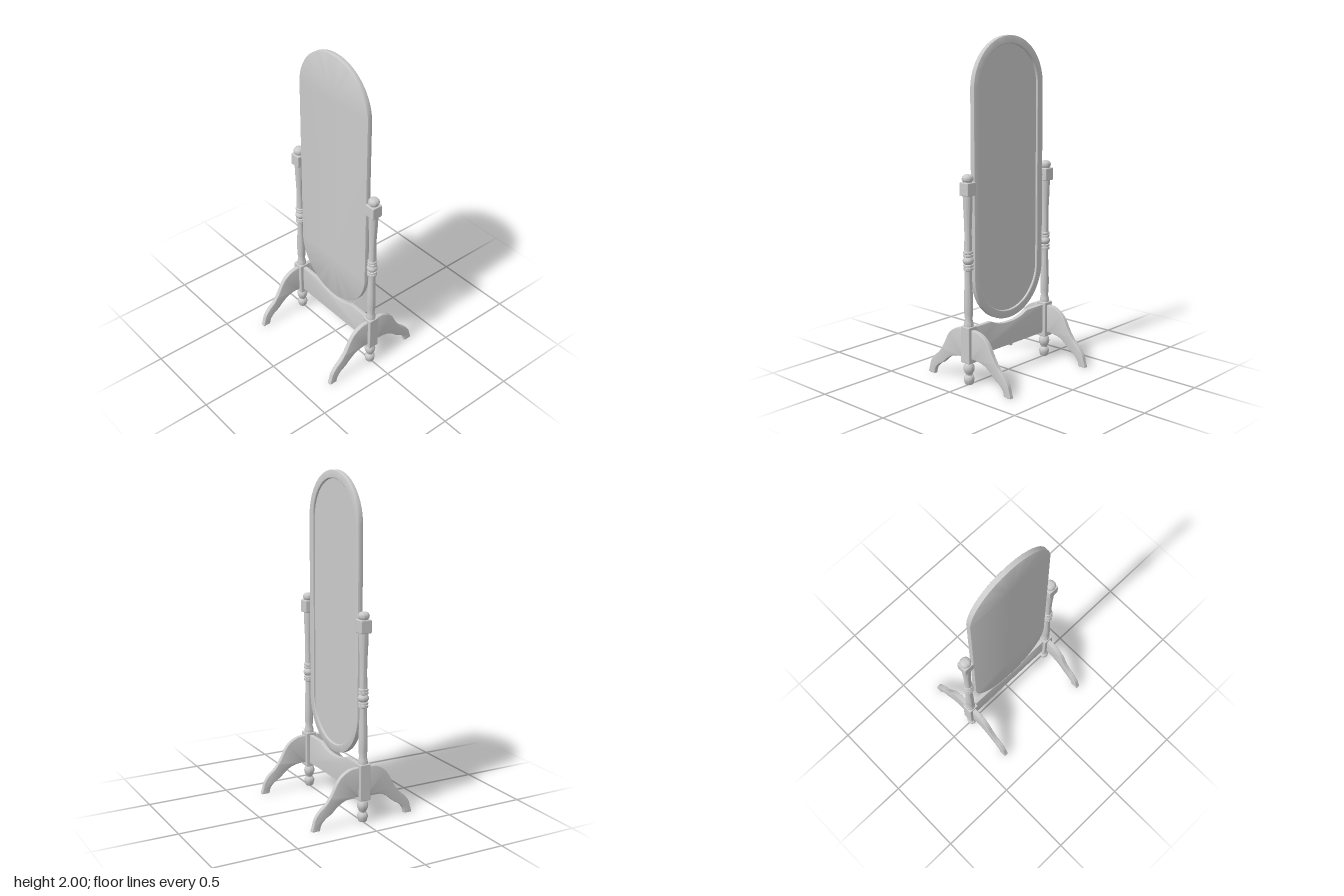
import * as THREE from 'three';
import { toCreasedNormals } from 'three/addons/utils/BufferGeometryUtils.js';
import { RoundedBoxGeometry } from 'three/addons/geometries/RoundedBoxGeometry.js';

const material = new THREE.MeshStandardMaterial({ color: 0xcccccc });
const POST_X = -0.003, POST_Z = 0.336, PANEL_X = -0.006, PANEL_Y = 1.165;
const vec = ([x, y]) => new THREE.Vector2(x, y);

function mesh(name, geometry, x = 0, y = 0, z = 0) {
  const m = new THREE.Mesh(geometry, material);
  m.name = name;
  m.position.set(x, y, z);
  return m;
}

// Turned part: profile of [radius, height] from bottom to top
function turned(profile) {
  return toCreasedNormals(new THREE.LatheGeometry(profile.map(vec), 28), 0.7);
}

// Board with softly rounded edges, centred on its thickness
function board(shape, thickness, bevel) {
  const g = new THREE.ExtrudeGeometry(shape, {
    depth: thickness - 2 * bevel, bevelThickness: bevel, bevelSize: bevel,
    bevelOffset: -bevel, bevelSegments: 3, curveSegments: 10,
  });
  g.translate(0, 0, bevel - thickness / 2);
  return toCreasedNormals(g, 0.6);
}

// Round-ended panel: a lathe about the x axis whose halves are pulled apart vertically
function oblong(profile, halfStraight) {
  const n = 72;
  const g = new THREE.LatheGeometry(profile.map(vec), n, Math.PI / n);
  const p = g.attributes.position;
  for (let i = 0; i < p.count; i++) {
    const phi = (Math.floor(i / profile.length) + 0.5) * 2 * Math.PI / n;
    p.setX(i, p.getX(i) + Math.sign(Math.sin(phi)) * halfStraight);
  }
  g.rotateZ(-Math.PI / 2);
  return toCreasedNormals(g, 0.5);
}

// S-curved leg, drawn towards +x
function legGeometry() {
  const s = new THREE.Shape();
  s.moveTo(0.01, 0.16);
  s.lineTo(0.01, 0.336);
  s.lineTo(0.04, 0.336);
  s.splineThru([[0.085, 0.33], [0.13, 0.307], [0.165, 0.27], [0.2, 0.205], [0.235, 0.155],
    [0.28, 0.115], [0.31, 0.075], [0.322, 0.035], [0.331, 0.008]].map(vec));
  s.lineTo(0.33, 0);
  s.lineTo(0.282, 0);
  s.splineThru([[0.272, 0.035], [0.245, 0.065], [0.205, 0.09], [0.165, 0.125],
    [0.12, 0.15], [0.07, 0.16], [0.03, 0.16]].map(vec));
  s.closePath();
  return board(s, 0.027, 0.004);
}

// Crosspiece with a scooped top edge
function stretcherGeometry() {
  const s = new THREE.Shape();
  s.moveTo(-0.32, 0.16);
  s.lineTo(0.32, 0.16);
  s.lineTo(0.32, 0.34);
  s.lineTo(0.16, 0.34);
  s.splineThru([[0.145, 0.335], [0.105, 0.318], [0.055, 0.307], [0, 0.304],
    [-0.055, 0.307], [-0.105, 0.318], [-0.145, 0.335], [-0.16, 0.34]].map(vec));
  s.lineTo(-0.32, 0.34);
  s.closePath();
  return board(s, 0.026, 0.002).rotateY(Math.PI / 2);
}

function createStand() {
  const stand = new THREE.Group();
  const block = (h) => new RoundedBoxGeometry(0.068, h, 0.068, 2, 0.005);

  // Post: square blocks joined by a turned shaft
  stand.add(mesh('lowerBlock', block(0.22), POST_X, 0.245));
  stand.add(mesh('upperBlock', block(0.076), POST_X, 1.158));
  stand.add(mesh('shaft', turned([
    [0.028, 0.345], [0.029, 0.362], [0.027, 0.375], [0.022, 0.395], [0.0255, 0.43], [0.0265, 0.48],
    [0.025, 0.55], [0.0215, 0.63], [0.021, 0.685],
    [0.028, 0.688], [0.029, 0.695], [0.028, 0.702], [0.023, 0.704],
    [0.028, 0.707], [0.029, 0.713], [0.028, 0.719], [0.021, 0.722],
    [0.025, 0.726], [0.031, 0.735], [0.032, 0.743], [0.031, 0.751], [0.025, 0.76], [0.021, 0.764],
    [0.028, 0.767], [0.029, 0.773], [0.028, 0.779], [0.023, 0.781],
    [0.028, 0.784], [0.029, 0.79], [0.028, 0.796], [0.023, 0.8],
    [0.022, 0.84], [0.021, 0.9], [0.022, 0.96], [0.0255, 1.03], [0.027, 1.08], [0.028, 1.105], [0.028, 1.125],
  ]), POST_X));

  // Finial and turned foot
  stand.add(mesh('finial', turned([
    [0.026, 1.19], [0.026, 1.2], [0.03, 1.204], [0.033, 1.212], [0.033, 1.219], [0.03, 1.228],
    [0.023, 1.236], [0.015, 1.239], [0, 1.24],
  ]), POST_X));
  stand.add(mesh('foot', turned([
    [0, 0.002], [0.022, 0.002], [0.026, 0.008], [0.031, 0.03], [0.031, 0.04], [0.026, 0.052], [0.019, 0.058],
    [0.019, 0.064], [0.025, 0.072], [0.031, 0.088], [0.033, 0.1], [0.031, 0.113], [0.025, 0.125],
    [0.021, 0.129], [0.021, 0.14],
  ]), POST_X));

  // A pair of legs
  const leg = legGeometry();
  for (const [name, turn] of [['leftLeg', 0], ['rightLeg', Math.PI]]) {
    const m = mesh(name, leg);
    m.rotation.y = turn;
    stand.add(m);
  }

  // Pivot pin holding the panel, with its screw head on the outer face
  const pin = new THREE.CylinderGeometry(0.006, 0.006, 0.04, 16).rotateX(Math.PI / 2);
  stand.add(mesh('pivotPin', pin, POST_X, 1.16, -0.04));
  const head = new THREE.CylinderGeometry(0.006, 0.006, 0.004, 16).rotateX(Math.PI / 2);
  stand.add(mesh('pivotScrew', head, POST_X, 1.16, 0.033));
  return stand;
}

export function createModel() {
  const model = new THREE.Group();
  model.name = 'standingMirror';

  // Two stands, each with its screw head facing outwards
  for (const side of [1, -1]) {
    const stand = createStand();
    stand.name = side > 0 ? 'frontStand' : 'backStand';
    stand.position.z = side * POST_Z;
    if (side < 0) {
      stand.rotation.y = Math.PI;
      stand.children.forEach((c) => { c.position.x *= -1; });
    }
    model.add(stand);
  }
  model.add(mesh('stretcher', stretcherGeometry(), POST_X));

  // Frame with closed back, and the glass recessed on its +x face
  const halfStraight = 0.541;
  model.add(mesh('mirrorFrame', oblong([
    [0, -0.016], [0.289, -0.016], [0.2925, -0.0145], [0.294, -0.011], [0.294, 0.011], [0.2925, 0.0145],
    [0.289, 0.016], [0.25, 0.016], [0.246, 0.013], [0.245, 0.004],
  ], halfStraight), PANEL_X, PANEL_Y));
  model.add(mesh('mirrorGlass', oblong([[0.246, 0.004], [0, 0.004]], halfStraight), PANEL_X, PANEL_Y));
  return model;
}
